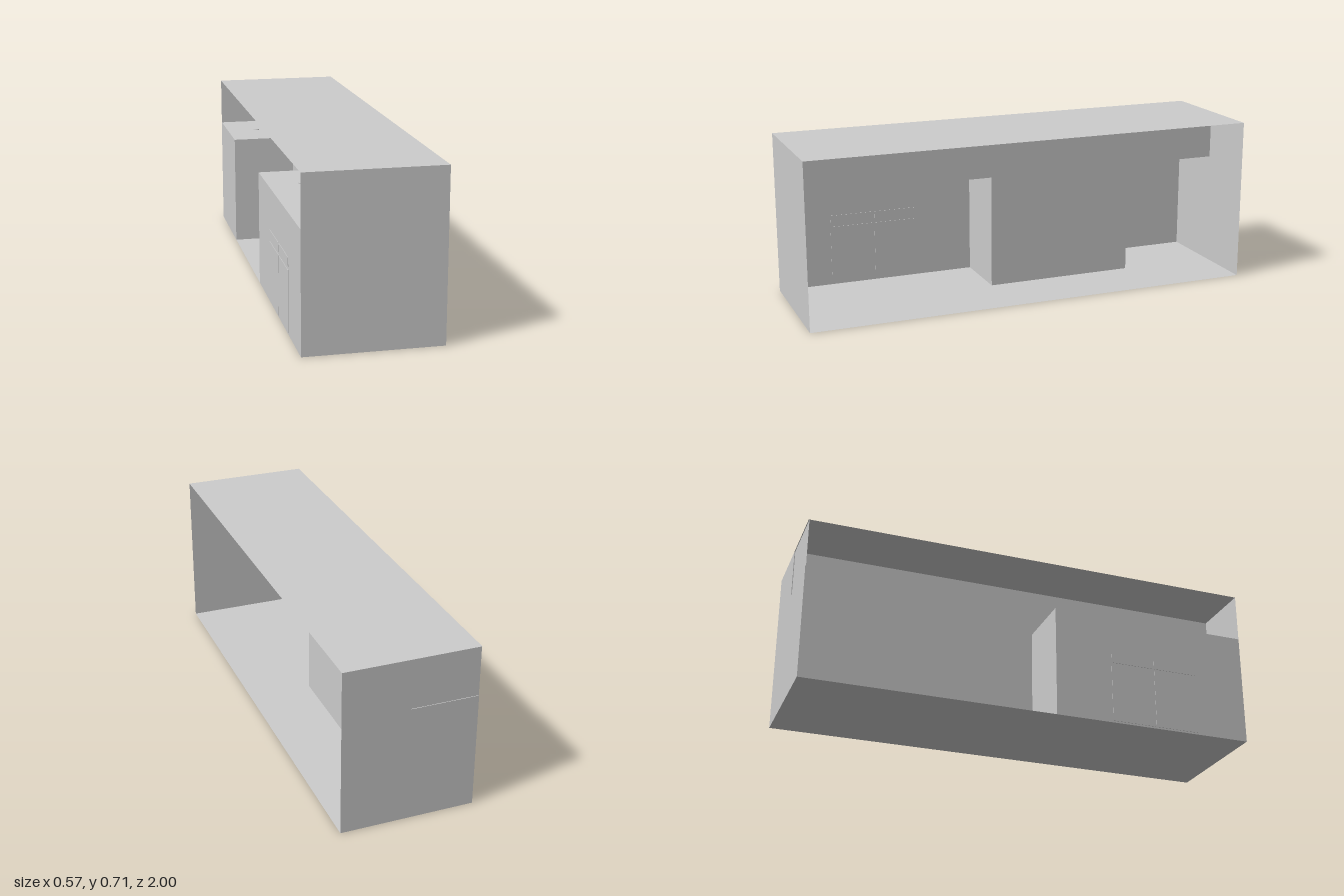
import * as THREE from 'three';

const W = 0.285, H = 0.715, L = 1; // half width, height, half length
const LEDGE = 0.5, BAY_FRONT = 0.1, BAY_BACK = -0.57, WALL = 0;

const sheetMat = new THREE.MeshStandardMaterial({ color: 0xcccccc, side: THREE.DoubleSide });
const solidMat = new THREE.MeshStandardMaterial({ color: 0xcccccc });

export function createModel() {
  const model = new THREE.Group();

  const add = (name, geometry, material, x, y, z) => {
    const mesh = new THREE.Mesh(geometry, material);
    mesh.name = name;
    mesh.position.set(x, y, z);
    model.add(mesh);
    return mesh;
  };

  // Thin sheets, each across one axis
  const sheetX = (name, x, y0, y1, z0, z1) =>
    add(name, new THREE.PlaneGeometry(z1 - z0, y1 - y0).rotateY(-Math.PI / 2),
      sheetMat, x, (y0 + y1) / 2, (z0 + z1) / 2);
  const sheetY = (name, y, x0, x1, z0, z1) =>
    add(name, new THREE.PlaneGeometry(x1 - x0, z1 - z0).rotateX(-Math.PI / 2),
      sheetMat, (x0 + x1) / 2, y, (z0 + z1) / 2);
  const sheetZ = (name, z, x0, x1, y0, y1) =>
    add(name, new THREE.PlaneGeometry(x1 - x0, y1 - y0),
      sheetMat, (x0 + x1) / 2, (y0 + y1) / 2, z);

  // Outer shell, open along both long sides
  sheetY('floor', 0, -W, W, -L, L);
  sheetY('roof', H, -W, W, -L, L);
  sheetZ('frontEndWall', L, -W, W, 0, H);
  sheetZ('backEndWallLower', -L, -W, W, 0, LEDGE);
  sheetZ('backEndWallUpper', -L, WALL, W, LEDGE, H);
  sheetZ('backEndPanel', -L + 0.003, -W, WALL, LEDGE, H);

  // Stepped dividing wall: upper band, full-height bay and its two returns
  sheetX('upperWall', WALL, LEDGE, H, -L, L);
  sheetX('bayWall', WALL, 0, LEDGE, BAY_BACK, BAY_FRONT);
  sheetZ('bayReturnFront', BAY_FRONT, -W, WALL, 0, LEDGE);
  sheetZ('bayReturnBack', BAY_BACK, -W, WALL, 0, LEDGE);

  // Low niches on either side of the bay, each with a ledge and round spots
  const niches = [
    { name: 'frontNiche', z0: BAY_FRONT, z1: L, spots: 3 },
    { name: 'backNiche', z0: -L, z1: BAY_BACK, spots: 1 },
  ];
  for (const { name, z0, z1, spots } of niches) {
    sheetX(`${name}Wall`, -W, 0, LEDGE, z0, z1);
    sheetY(`${name}Ledge`, LEDGE, -W, WALL, z0, z1);
    for (let i = 1; i <= spots; i++) {
      add(`${name}Spot`, new THREE.CylinderGeometry(0.014, 0.014, 0.006, 20), solidMat,
        (WALL - W) / 2, LEDGE, z0 + (z1 - z0) * i / (spots + 1));
    }
  }

  // Two doors with a drawer front over each, slightly proud of the niche wall
  for (const [z0, z1] of [[0.358, 0.557], [0.562, 0.76]]) {
    for (const [name, y0, y1] of [['cabinetDoor', 0.008, 0.268], ['drawerFront', 0.28, 0.32]]) {
      add(name, new THREE.BoxGeometry(0.004, y1 - y0, z1 - z0), solidMat,
        -W, (y0 + y1) / 2, (z0 + z1) / 2);
    }
  }

  return model;
}
